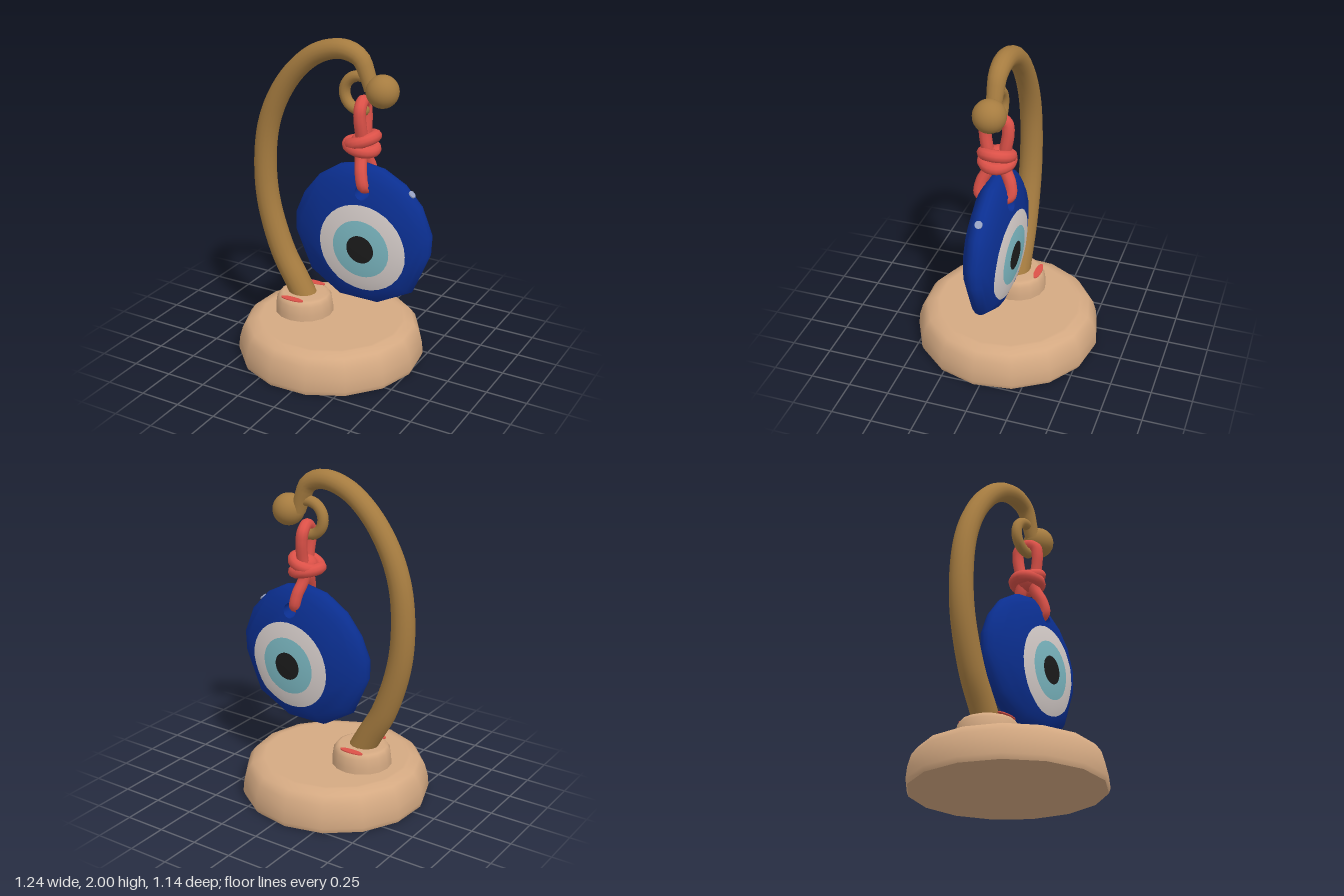
import * as THREE from 'three';

const mat = (name, color, side = THREE.FrontSide) => {
  const m = new THREE.MeshStandardMaterial({ color, side });
  m.name = name;
  return m;
};
const V = (p) => new THREE.Vector3(...p);

// Bead outline (x, y), counter-clockwise, and its centre and half thickness
const OUT = [[0.61, 0.79], [0.616, 0.91], [0.548, 1.08], [0.44, 1.195], [0.3, 1.27], [0.167, 1.29],
  [0.024, 1.26], [-0.124, 1.164], [-0.225, 1.037], [-0.283, 0.9], [-0.283, 0.78], [-0.177, 0.54],
  [0.024, 0.415], [0.283, 0.415], [0.5, 0.53]];
const CX = 0.167, CY = 0.852, CZ = 0.135;
const EYE = [0.217, 0.795], HOLE = [0.213, 1.143];

// Height of the bead: 0 on the outline, CZ at the centre
function beadHeight(x, y) {
  let g = 0;
  OUT.forEach(([ax, ay], i) => {
    const [bx, by] = OUT[(i + 1) % OUT.length];
    const nx = by - ay, ny = ax - bx;
    g = Math.max(g, (nx * (x - CX) + ny * (y - CY)) / (nx * (ax - CX) + ny * (ay - CY)));
  });
  return g > 0.999 ? 0 : CZ * Math.sqrt(1 - Math.pow(g, 2.2));
}

// Lift a flat geometry onto the bead's front or back face
function dome(geo, side) {
  const p = geo.attributes.position, n = geo.attributes.normal, v = new THREE.Vector3();
  for (let i = 0; i < p.count; i++) {
    const x = p.getX(i), y = p.getY(i), z = beadHeight(x, y) * side;
    p.setZ(i, z);
    v.set((x - CX) / 0.2, (y - CY) / 0.2, z / (CZ * CZ)).normalize();
    n.setXYZ(i, v.x, v.y, v.z);
  }
  if (side < 0) geo.setIndex(Array.from(geo.index.array).reverse());
  return geo;
}

const scaled = (s) => OUT.map(([x, y]) => new THREE.Vector2(CX + (x - CX) * s, CY + (y - CY) * s));
const circle = ([x, y], r, n) => Array.from({ length: n }, (_, i) => {
  const a = (i / n) * Math.PI * 2;
  return new THREE.Vector2(x + Math.cos(a) * r, y + Math.sin(a) * r);
});
function sheet(outer, ...holes) {
  const s = new THREE.Shape(outer);
  s.holes = holes.map((h) => new THREE.Path(h));
  return new THREE.ShapeGeometry(s);
}

// Tube whose radius follows a function of its length
function taperTube(points, radiusAt, segs, sides) {
  const curve = new THREE.CatmullRomCurve3(points.map(V));
  const geo = new THREE.TubeGeometry(curve, segs, 1, sides);
  const p = geo.attributes.position, v = new THREE.Vector3();
  for (let i = 0; i <= segs; i++) {
    const c = curve.getPointAt(i / segs);
    for (let j = 0; j <= sides; j++) {
      const k = i * (sides + 1) + j;
      v.fromBufferAttribute(p, k).sub(c).multiplyScalar(radiusAt(i / segs)).add(c);
      p.setXYZ(k, v.x, v.y, v.z);
    }
  }
  return geo;
}

export function createModel() {
  const root = new THREE.Group();
  const wood = mat('pale wood', 0xd4a982);
  const brass = mat('brass brown', 0xa67c40);
  const red = mat('red cord', 0xdc5148);
  const blue = mat('deep blue', 0x0b2f91, THREE.DoubleSide);
  const white = mat('eye white', 0xd8cfcc);
  const aqua = mat('eye aqua', 0x7dbac4);
  const black = mat('pupil black', 0x1c1c1c);
  const glint = mat('glint grey', 0x98a3c4);

  const add = (name, geo, material, parent = root) => {
    const m = new THREE.Mesh(geo, material);
    m.name = name;
    parent.add(m);
    return m;
  };
  const lathe = (pts, n, phi) =>
    new THREE.LatheGeometry(pts.map((p) => new THREE.Vector2(...p)), n, phi);

  // Round base and the collar that holds the arm
  add('base', lathe([[0, 0], [0.565, 0], [0.565, 0], [0.575, 0.03], [0.568, 0.1], [0.548, 0.17],
    [0.515, 0.215], [0.46, 0.235], [0.44, 0.235], [0, 0.235]], 15, Math.PI + 0.035), wood)
    .position.x = -0.05;
  add('collar', lathe([[0.182, 0.22], [0.18, 0.27], [0.172, 0.325], [0.155, 0.35],
    [0.135, 0.358], [0, 0.358]], 16, 0), wood).position.x = -0.24;
  for (const s of [1, -1]) {
    const patch = add('collarPatch', new THREE.CylinderGeometry(1, 1, 0.006, 16), red);
    patch.scale.set(0.078, 1, 0.023);
    patch.position.set(-0.25, 0.358, s * 0.134);
  }

  // Curved arm, hook and end ball
  add('arm', taperTube([[-0.235, 0.32, 0], [-0.295, 0.43, 0], [-0.39, 0.6, 0], [-0.485, 0.9, 0],
    [-0.507, 1.15, 0], [-0.48, 1.4, 0], [-0.405, 1.6, 0], [-0.28, 1.78, 0], [-0.13, 1.9, 0],
    [0.03, 1.942, 0], [0.14, 1.905, 0], [0.185, 1.82, 0], [0.215, 1.73, 0]],
  (t) => 0.08 - 0.025 * t - 0.012 * Math.max(0, t - 0.88) / 0.12, 64, 16), brass);
  const hook = [];
  for (let a = 20; a <= 285; a += 26.5) {
    const r = (a * Math.PI) / 180;
    hook.push([0.142 + Math.cos(r) * 0.1, 1.7 + Math.sin(r) * 0.1, 0]);
  }
  add('hook', taperTube(hook, () => 0.033, 28, 12), brass);
  add('hookTip', new THREE.SphereGeometry(0.033, 12, 8), brass).position.set(...hook.at(-1));
  add('endBall', new THREE.SphereGeometry(0.096, 24, 16), brass).position.set(0.285, 1.73, 0);

  // Cord: loop over the hook, knot, loop through the bead
  const cord = new THREE.Group();
  cord.name = 'cord';
  root.add(cord);
  const loop = (name, half, mid) => {
    const back = half.map(([x, y, z]) => [x - 0.025, y, -z]).reverse();
    add(name, taperTube([...half, mid, ...back], () => 0.036, 48, 10), red, cord);
  };
  loop('upperLoop', [[0.175, 1.38, 0.03], [0.18, 1.47, 0.05], [0.175, 1.57, 0.064],
    [0.172, 1.625, 0.055]], [0.16, 1.655, 0]);
  loop('lowerLoop', [[0.165, 1.4, 0.03], [0.175, 1.33, 0.045], [0.195, 1.25, 0.082],
    [0.212, 1.175, 0.085]], [0.208, 1.155, 0]);
  for (const [tilt, y, x] of [[0.36, 1.425, 0.16], [-0.2, 1.385, 0.155]]) {
    const wrap = add('knotWrap', new THREE.TorusGeometry(0.08, 0.036, 10, 24).rotateX(Math.PI / 2), red, cord);
    wrap.rotation.z = tilt;
    wrap.position.set(x, y, 0);
  }
  const core = add('knotCore', new THREE.SphereGeometry(0.07, 12, 10), red, cord);
  core.position.set(0.158, 1.405, 0);

  // Bead: blue lens with an eye on both faces
  const bead = new THREE.Group();
  bead.name = 'eyeBead';
  root.add(bead);
  const steps = [1, 0.985, 0.94, 0.84];
  const hole = circle(HOLE, 0.046, 12);
  for (const side of [1, -1]) {
    for (let i = 0; i < 3; i++)
      add('beadRim', dome(sheet(scaled(steps[i]), scaled(steps[i + 1])), side), blue, bead);
    add('beadFace', dome(sheet(scaled(0.84), circle(EYE, 0.275, 32), hole), side), blue, bead);
    const ring = (name, a, b, material) =>
      add(name, dome(new THREE.RingGeometry(a, b, 32, 2).translate(...EYE, 0), side), material, bead);
    ring('eyeWhite', 0.18, 0.275, white);
    ring('eyeIris', 0.087, 0.18, aqua);
    ring('eyePupil', 0, 0.087, black);
  }

  // Wall of the cord hole
  const wall = new THREE.CylinderGeometry(0.046, 0.046, 1, 12, 1, true).rotateX(Math.PI / 2);
  const wp = wall.attributes.position;
  for (let i = 0; i < wp.count; i++) {
    const x = wp.getX(i) + HOLE[0], y = wp.getY(i) + HOLE[1];
    wp.setXYZ(i, x, y, Math.sign(wp.getZ(i)) * beadHeight(x, y));
  }
  add('cordHole', wall, blue, bead);

  // Small glint on the rim
  const spot = add('glint', new THREE.CylinderGeometry(0.023, 0.023, 0.008, 14), glint, bead);
  spot.position.set(0.484, 1.149, 0);
  spot.quaternion.setFromUnitVectors(new THREE.Vector3(0, 1, 0), V([0.115, 0.108, 0]).normalize());

  return root;
}
